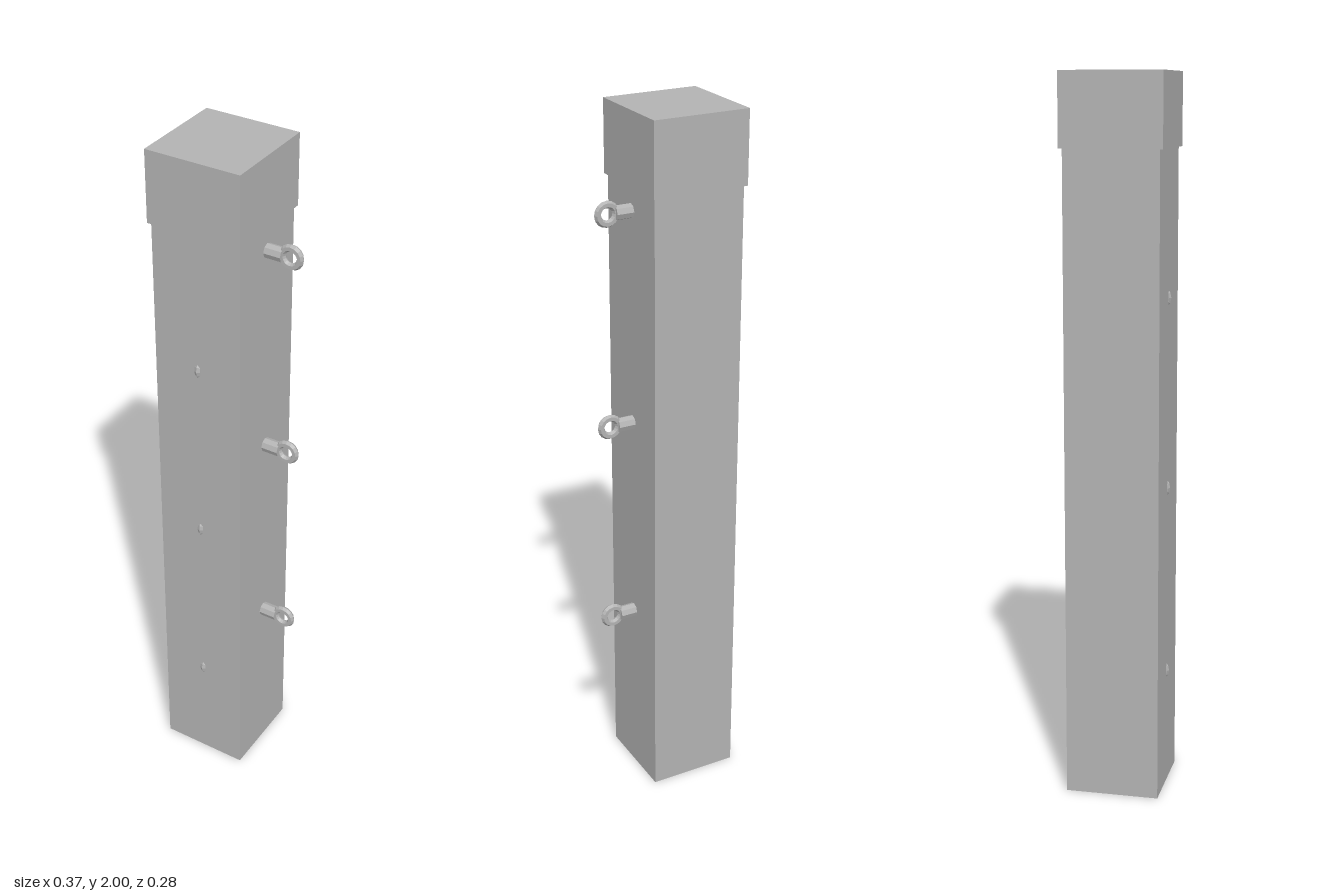
import * as THREE from 'three';

export function createModel() {
  const model = new THREE.Group();
  model.name = 'fencePost';
  const grey = new THREE.MeshStandardMaterial({ color: 0xb3b3b3, flatShading: true });
  grey.name = 'grey';

  const add = (parent, name, geometry, x, y, z) => {
    const mesh = new THREE.Mesh(geometry, grey);
    mesh.name = name;
    mesh.position.set(x, y, z);
    parent.add(mesh);
    return mesh;
  };

  // Square post and slightly wider cap
  const centreX = -0.05;
  add(model, 'post', new THREE.BoxGeometry(0.26, 1.8, 0.262), centreX, 0.9, 0);
  add(model, 'cap', new THREE.BoxGeometry(0.273, 0.2, 0.28), centreX, 1.9, 0);

  // Eye bolt pointing along +x, with the ring centre at its origin
  const shankGeometry = new THREE.CylinderGeometry(0.02, 0.02, 0.07, 8).rotateZ(Math.PI / 2);
  const ringGeometry = new THREE.TorusGeometry(0.026, 0.01, 6, 16);
  const eyeBolt = (name, x, y, z, turn) => {
    const bolt = new THREE.Group();
    bolt.name = name;
    add(bolt, 'shank', shankGeometry, -0.057, 0, 0);
    add(bolt, 'ring', ringGeometry, 0, 0, 0);
    bolt.position.set(x, y, z);
    bolt.rotation.y = turn;
    model.add(bolt);
  };

  // Full bolts on the left side
  for (const y of [0.535, 1.135, 1.735]) eyeBolt('sideEyeBolt', 0.15, y, 0, 0);

  // Sunken bolts on the front, only the ring tips showing
  for (const y of [0.335, 0.87, 1.4]) eyeBolt('frontEyeBolt', centreX, y, 0.102, -Math.PI / 2);

  return model;
}
